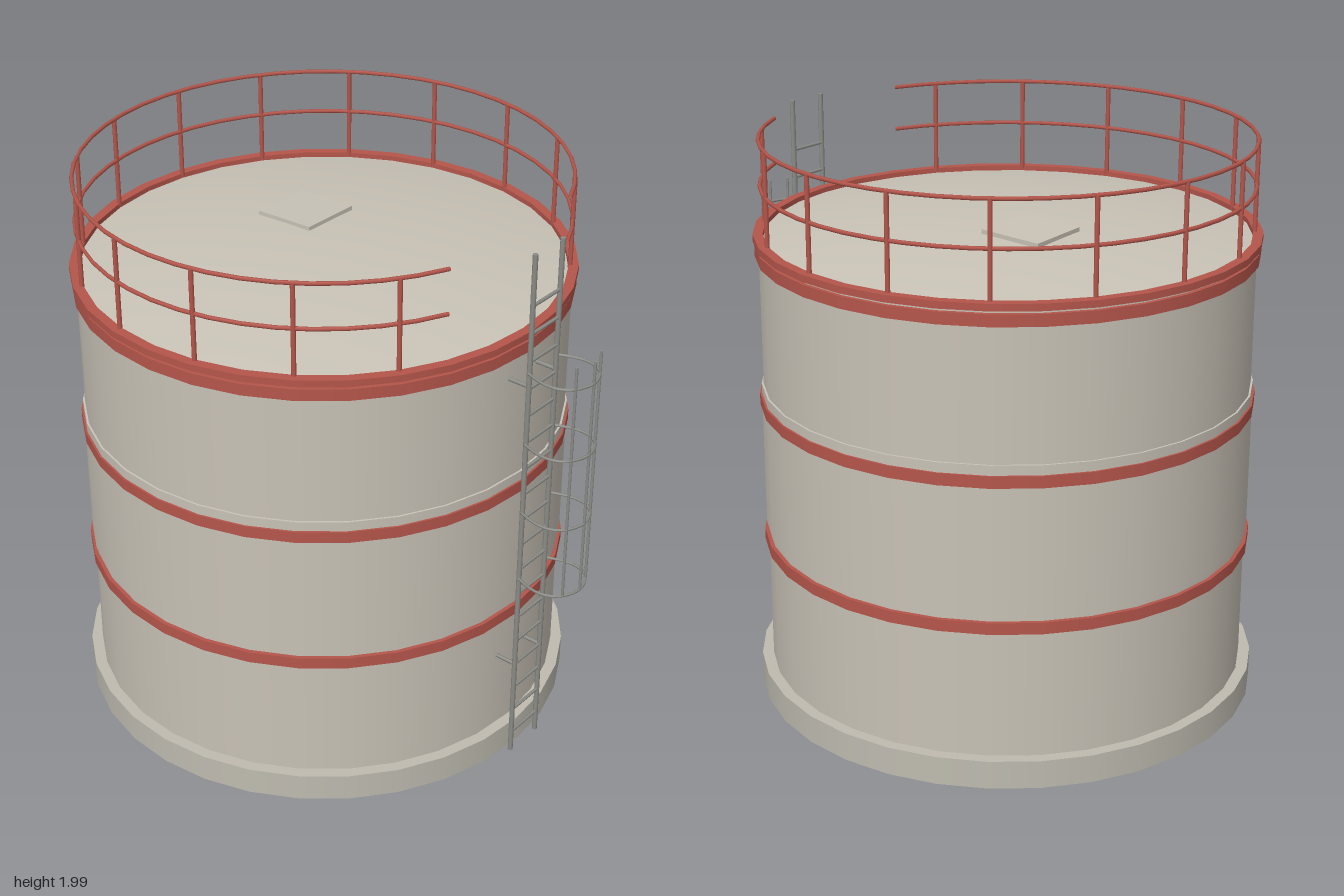
import * as THREE from 'three';

const mat = (name, color) => {
  const m = new THREE.MeshStandardMaterial({ color });
  m.name = name;
  return m;
};

export function createModel() {
  const model = new THREE.Group();
  model.name = 'storageTank';
  const shellPaint = mat('shellPaint', 0xc8c2b6);
  const concrete = mat('concrete', 0xbfbbb0);
  const redPaint = mat('redPaint', 0xb5564b);
  const steel = mat('steel', 0x8c8c87);

  const SIDES = 32;
  const tank = new THREE.Group();
  tank.name = 'tank';
  tank.position.x = -0.117;
  model.add(tank);

  const add = (parent, name, geometry, material, x = 0, y = 0, z = 0) => {
    const mesh = new THREE.Mesh(geometry, material);
    mesh.name = name;
    mesh.position.set(x, y, z);
    parent.add(mesh);
    return mesh;
  };
  const drum = (name, r, y0, y1, material) =>
    add(tank, name, new THREE.CylinderGeometry(r, r, y1 - y0, SIDES), material, 0, (y0 + y1) / 2, 0);

  // Round bar between two points
  const bar = (parent, name, a, b, r, material) => {
    const p = new THREE.Vector3(...a), q = new THREE.Vector3(...b);
    const mesh = add(parent, name, new THREE.CylinderGeometry(r, r, p.distanceTo(q), 8), material);
    mesh.position.copy(p).lerp(q, 0.5);
    mesh.quaternion.setFromUnitVectors(new THREE.Vector3(0, 1, 0), q.sub(p).normalize());
    return mesh;
  };

  // Foundation and three shell courses, the middle one slightly proud
  drum('foundation', 0.883, 0, 0.1, concrete);
  drum('lowerShell', 0.843, 0.1, 0.615, shellPaint);
  drum('middleShell', 0.85, 0.615, 1.13, shellPaint);
  drum('upperShell', 0.843, 1.13, 1.64, shellPaint);

  // Painted stiffening bands
  for (const y of [0.548, 1.055, 1.585]) drum('stiffeningBand', 0.857, y, y + 0.041, redPaint);

  // Shallow domed roof
  const dome = [];
  for (let i = 0; i <= 10; i++) {
    const t = 1 - i / 10;
    dome.push(new THREE.Vector2(0.843 * t, 1.641 + 0.07 * (1 - t * t)));
  }
  add(tank, 'roof', new THREE.LatheGeometry(dome, SIDES), shellPaint);

  // Roof rim: flat ring, one flat-sided strip per face so the edges stay crisp
  const rim = new THREE.Group();
  rim.name = 'roofRim';
  tank.add(rim);
  const corners = [[0.828, 1.637], [0.862, 1.637], [0.862, 1.661], [0.828, 1.661]];
  corners.forEach((c, i) => {
    const strip = [c, corners[(i + 1) % 4]].map((p) => new THREE.Vector2(...p));
    add(rim, 'rimFace', new THREE.LatheGeometry(strip, SIDES), redPaint);
  });

  // Roof hatch, tilted with the roof slope
  const hatch = add(tank, 'roofHatch', new THREE.BoxGeometry(0.23, 0.018, 0.23), shellPaint, -0.198, 1.709, -0.135);
  hatch.rotation.set(-0.02, 0, 0.035);

  // Guard rail with a gap at the ladder
  const railing = new THREE.Group();
  railing.name = 'guardRail';
  tank.add(railing);
  const R = 0.832, step = Math.PI / 8;
  for (let k = 1; k < 15; k++) {
    const a = (k + 0.5) * step;
    const x = R * Math.cos(a), z = R * Math.sin(a);
    bar(railing, 'railPost', [x, 1.65, z], [x, 1.98, z], 0.008, redPaint);
  }
  for (const y of [1.825, 1.98]) {
    const rail = add(railing, 'railRing', new THREE.TorusGeometry(R, 0.007, 6, 42, 14 * step), redPaint, 0, y, 0);
    rail.rotation.set(Math.PI / 2, 0, -step, 'YXZ');
    rail.rotation.z = step;
  }

  // Ladder: stringers, rungs and wall brackets
  const ladder = new THREE.Group();
  ladder.name = 'ladder';
  model.add(ladder);
  const LX = 0.795, LZ = 0.074;
  for (const s of [-1, 1]) {
    bar(ladder, 'stringer', [LX, 0.02, s * LZ], [LX, 1.98, s * LZ], 0.009, steel);
    for (const y of [0.4, 1.51])
      bar(ladder, 'wallBracket', [0.715, y, s * LZ], [LX, y, s * LZ], 0.007, steel);
  }
  for (let i = 1; i <= 18; i++)
    bar(ladder, 'rung', [LX, i * 0.1, -LZ], [LX, i * 0.1, LZ], 0.006, steel);

  // Safety cage: hoops and vertical straps
  const cage = new THREE.Group();
  cage.name = 'safetyCage';
  model.add(cage);
  const half = [[0.795, 0.08], [0.845, 0.098], [0.89, 0.105], [0.935, 0.095], [0.968, 0.066]];
  const path = [...half, [0.99, 0], ...half.slice().reverse().map(([x, z]) => [x, -z])];
  const hoop = new THREE.CatmullRomCurve3(path.map(([x, z]) => new THREE.Vector3(x, 0, z)));
  for (const y of [0.765, 1.03, 1.295, 1.56])
    add(cage, 'cageHoop', new THREE.TubeGeometry(hoop, 28, 0.005, 6), steel, 0, y, 0);
  for (const [x, z] of [[0.99, 0], [0.967, 0.068], [0.967, -0.068]])
    bar(cage, 'cageStrap', [x, 0.765, z], [x, 1.64, z], 0.005, steel);

  return model;
}
